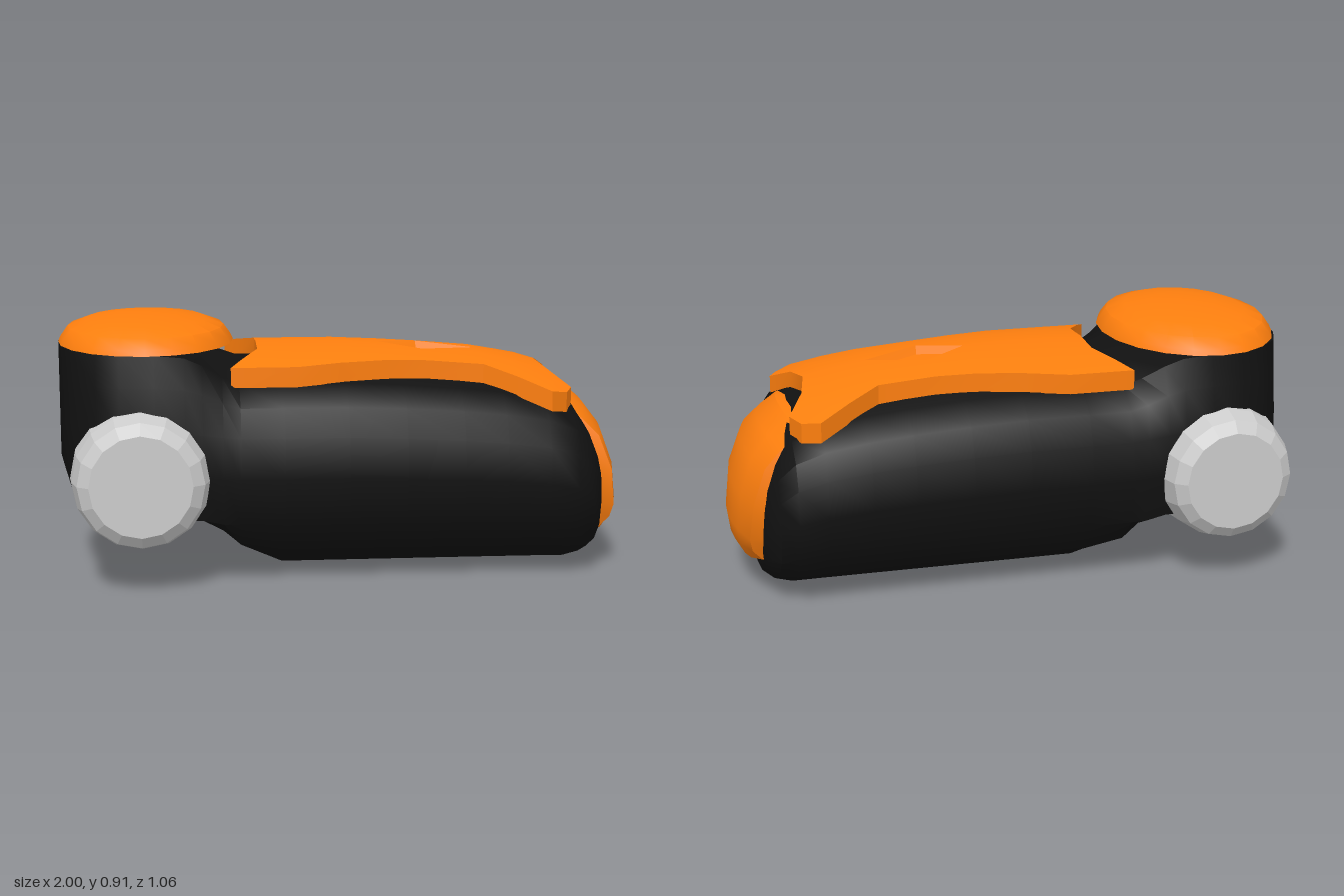
import * as THREE from 'three';
import { toCreasedNormals } from 'three/addons/utils/BufferGeometryUtils.js';

const black = new THREE.MeshStandardMaterial({ color: 0x111111, side: THREE.DoubleSide });
const orange = new THREE.MeshStandardMaterial({ color: 0xff7f0e, side: THREE.DoubleSide });
const grey = new THREE.MeshStandardMaterial({ color: 0xcccccc, flatShading: true });

// Linear interpolation in a table of [x, value] pairs
function at(table, x) {
  if (x <= table[0][0]) return table[0][1];
  for (let i = 1; i < table.length; i++) {
    const [x0, v0] = table[i - 1], [x1, v1] = table[i];
    if (x <= x1) return v0 + (v1 - v0) * (x - x0) / (x1 - x0);
  }
  return table[table.length - 1][1];
}

// Triangles over a grid of points; "partial" keeps just one triangle of a cell
function skin(grid, partial = {}) {
  const tris = [];
  for (let i = 0; i < grid.length - 1; i++) {
    for (let j = 0; j < grid[i].length - 1; j++) {
      const cell = { a: grid[i][j], b: grid[i + 1][j], c: grid[i + 1][j + 1], d: grid[i][j + 1] };
      for (const k of partial[`${i},${j}`] || 'adcacb') tris.push(cell[k]);
    }
  }
  return tris;
}

// Wall between a closed loop of points and its moved copy
function wall(loop, move) {
  const tris = [];
  loop.forEach((p, i) => {
    const q = loop[(i + 1) % loop.length];
    tris.push(p, move(p), q, q, move(p), move(q));
  });
  return tris;
}

// Border of a grid as a closed loop
function border(grid) {
  const n = grid.length - 1, m = grid[0].length - 1;
  return [
    ...grid[0], ...grid.slice(1, n).map(r => r[m]),
    ...[...grid[n]].reverse(), ...grid.slice(1, n).reverse().map(r => r[0]),
  ];
}

function mesh(name, geometry, material) {
  const m = new THREE.Mesh(geometry, material);
  m.name = name;
  return m;
}

function solid(name, tris, material, crease = 0.6) {
  const g = new THREE.BufferGeometry().setFromPoints(tris.map(p => new THREE.Vector3(...p)));
  return mesh(name, toCreasedNormals(g, crease), material);
}

// Crest height of the top plate along its length
const crest = [[-0.4, 0.8], [0, 0.8], [0.2, 0.79], [0.5, 0.765], [0.7, 0.727], [0.8, 0.685]];

// Body: half sections [z, y] blended from round neck to long hull
function makeBody() {
  const hull = [[0, 0.765], [0.16, 0.75], [0.3, 0.71], [0.39, 0.64], [0.435, 0.54],
    [0.455, 0.4], [0.42, 0.23], [0.32, 0.105], [0.175, 0.03], [0, 0]];
  const neck = [[0, 0.81], [0.2, 0.81], [0.395, 0.81], [0.42, 0.7], [0.45, 0.55], ...hull.slice(5)];
  const underside = [[-1, 0.19], [-0.94, 0.24], [-0.5, 0.24], [-0.22, 0]];
  // x, width, neck share, top, bottom
  const stations = [
    [-1, 0, 1], [-0.98, 0.4, 1], [-0.94, 0.65, 1], [-0.86, 0.86, 1], [-0.78, 0.94, 1],
    [-0.66, 0.98, 1], [-0.56, 0.97, 0.9], [-0.5, 0.97, 0.65], [-0.43, 0.975, 0.25], [-0.37, 0.98, 0],
    [-0.22, 0.99, 0], [0, 1, 0], [0.2, 1, 0], [0.4, 0.995, 0], [0.55, 0.99, 0], [0.7, 0.98, 0],
    [0.8, 0.965, 0, 0.63, 0], [0.86, 0.89, 0, 0.55, 0.015], [0.9, 0.74, 0, 0.47, 0.045],
    [0.913, 0.6, 0, 0.4, 0.085], [0.915, 0, 0, 0.4, 0.085],
  ];
  const grid = stations.map(([x, w, t, top = at(crest, x) - 0.055, bottom = 0]) => {
    const half = hull.map(([z, y], i) => {
      const hullY = bottom + (y / 0.765) * (top - bottom);
      let py = t * neck[i][1] + (1 - t) * hullY;
      py = Math.max(py, at(underside, x));
      // the rear wall leans in near its foot
      const lean = 0.3 * Math.max(0, 0.4 - py) * Math.min(1, Math.max(0, (-0.8 - x) / 0.2));
      return [x + lean, py, w * (t * neck[i][0] + (1 - t) * z)];
    });
    const other = half.slice(0, -1).reverse().map(([px, py, pz]) => [px, py, -pz]);
    return [...half, ...other];
  });
  return solid('body', skin(grid), black, 0.7);
}

// Top plate: curved sheet with a flared outline and a diamond recess
function makeTopPlate() {
  const share = [0, 0.42, 0.78, 1];
  // half width, then x for each column from the middle outwards
  const rows = [
    [0.32, -0.3, -0.3, -0.36, -0.4], [0.32, -0.17], [0.29, -0.02], [0.255, 0.14], [0.235, 0.29],
    [0.235, 0.49], [0.3, 0.6], [0.365, 0.65, 0.665, 0.7, 0.71], [0.32, 0.715, 0.74, 0.8, 0.77],
  ];
  const grid = rows.map(([w, ...xs]) => [-3, -2, -1, 0, 1, 2, 3].map(k => {
    const n = Math.abs(k), x = xs[n] ?? xs[0], z = Math.sign(k) * share[n] * w;
    return [x, at(crest, x) - 0.45 * z * z, z];
  }));
  const tris = skin(grid, { '3,2': 'adb', '3,3': 'adc', '4,2': 'acb', '4,3': 'dcb' });
  tris.push(...wall(border(grid), ([x, y, z]) => [x, y - 0.07, z]));
  // recess
  const rim = [grid[3][3], grid[4][2], grid[5][3], grid[4][4]];
  const sink = ([x, y, z]) => [0.3 + (x - 0.3) * 0.8, y - 0.028, z * 0.8];
  const [p, q, r, s] = rim.map(sink);
  tris.push(...wall(rim, sink), p, s, q, q, s, r);
  return solid('topPlate', tris, orange, 0.5);
}

// Nose panel: bulging shield on the end of the body
function makeNosePanel() {
  // y, half width, x at the middle, drop of the side edge, depth of the rim
  const rows = [
    [0.64, 0.26, 0.81, 0.04], [0.58, 0.275, 0.88, 0.03], [0.5, 0.29, 0.94, 0.01],
    [0.37, 0.31, 0.985, 0], [0.24, 0.29, 1, 0], [0.17, 0.27, 0.99, -0.02], [0.105, 0.255, 0.955, -0.045],
  ];
  const grid = rows.map(([y, w, x, drop]) => [-1, -0.6, -0.3, 0, 0.3, 0.6, 1].map(s =>
    [x - 0.045 * s * s, y - drop * s * s, w * s]));
  const tris = [...skin(grid), ...wall(border(grid), ([x, y, z]) => [x - 0.07, y, z])];
  return solid('nosePanel', tris, orange, 0.6);
}

// Cap: shallow oval dome over the neck
function makeCap() {
  const profile = [[0, 0], [1, 0], [0.97, 0.02], [0.89, 0.055], [0.68, 0.08], [0.37, 0.095], [0, 0.1]];
  const g = new THREE.LatheGeometry(profile.map(p => new THREE.Vector2(...p)), 20);
  g.scale(0.405, 1, 0.31).rotateY(Math.PI / 2).translate(-0.69, 0.81, 0);
  return mesh('cap', toCreasedNormals(g, 0.6), orange);
}

// Roller: one faceted barrel running across the body
function makeRoller() {
  const half = [[0.243, 0.36], [0.235, 0.43], [0.215, 0.5], [0.175, 0.53], [0, 0.53]];
  const profile = [...half.map(([r, y]) => [r, -y]).reverse(), ...half];
  const g = new THREE.LatheGeometry(profile.map(p => new THREE.Vector2(...p)), 16);
  g.rotateX(Math.PI / 2).translate(-0.71, 0.388, 0);
  return mesh('roller', g, grey);
}

export function createModel() {
  const model = new THREE.Group();
  model.name = 'rollerVehicle';
  model.add(makeBody(), makeTopPlate(), makeNosePanel(), makeCap(), makeRoller());
  return model;
}
